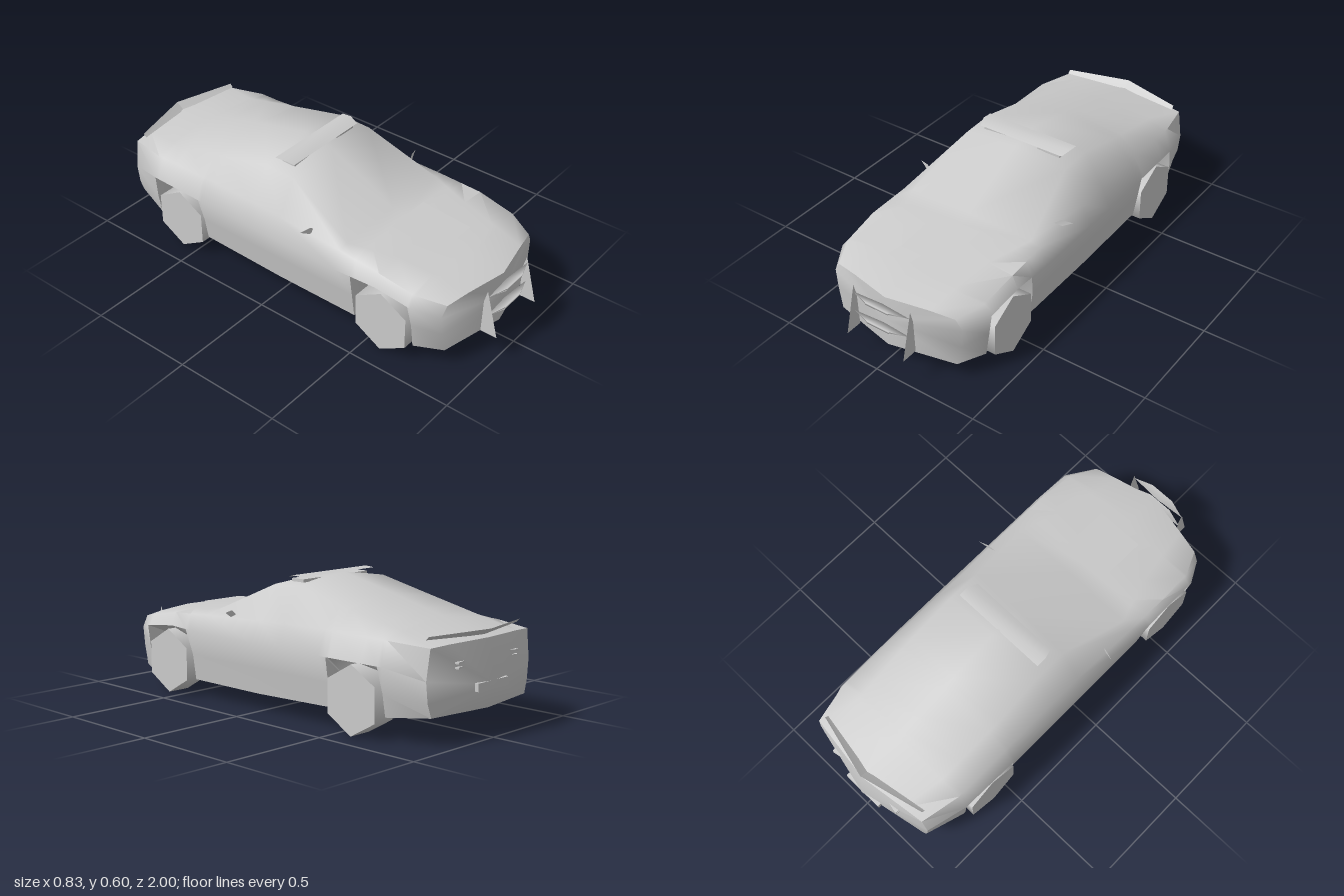
import * as THREE from 'three';
import { toCreasedNormals } from 'three/addons/utils/BufferGeometryUtils.js';

const material = new THREE.MeshStandardMaterial({ color: 0xcccccc });
const thin = new THREE.MeshStandardMaterial({ color: 0xcccccc, side: THREE.DoubleSide });

function add(group, name, geometry, mat = material) {
  const mesh = new THREE.Mesh(geometry, mat);
  mesh.name = name;
  group.add(mesh);
  return mesh;
}

function build(points, index) {
  const g = new THREE.BufferGeometry();
  g.setAttribute('position', new THREE.Float32BufferAttribute(points.flat(), 3));
  g.setIndex(index);
  g.computeVertexNormals();
  return g;
}

// Thin sheet from a convex outline of corners
function sheet(corners) {
  const index = [];
  for (let i = 1; i < corners.length - 1; i++) index.push(0, i, i + 1);
  return build(corners, index);
}

// Upper profile: z, waist x/y, shoulder x/y, roof edge x/y, centre y
const UPPER = [
  [0.84, 0.34, 0.27, 0.31, 0.32, 0.2, 0.33, 0.335],
  [0.73, 0.4, 0.3, 0.365, 0.345, 0.22, 0.36, 0.365],
  [0.55, 0.402, 0.32, 0.375, 0.378, 0.25, 0.388, 0.392],
  [0.34, 0.405, 0.31, 0.37, 0.39, 0.32, 0.402, 0.41],
  [0, 0.405, 0.31, 0.36, 0.402, 0.265, 0.555, 0.575],
  [-0.16, 0.405, 0.31, 0.36, 0.41, 0.265, 0.56, 0.6],
  [-0.4, 0.404, 0.31, 0.36, 0.415, 0.27, 0.505, 0.547],
  [-0.74, 0.395, 0.31, 0.36, 0.412, 0.26, 0.435, 0.465],
  [-0.92, 0.34, 0.27, 0.32, 0.4, 0.22, 0.405, 0.41],
];

function upperAt(z) {
  let i = 0;
  while (i < UPPER.length - 2 && z < UPPER[i + 1][0]) i++;
  const a = UPPER[i], b = UPPER[i + 1], t = (z - a[0]) / (b[0] - a[0]);
  return a.map((v, k) => v + (b[k] - v) * t);
}

// Stations front to back; a second number is the wheel arch height there
const STATIONS = [
  [0.84], [0.73], [0.715, 0.25], [0.55, 0.31], [0.45, 0.22], [0.42], [0.34], [0],
  [-0.16], [-0.4], [-0.44], [-0.46, 0.2], [-0.63, 0.3], [-0.715, 0.25], [-0.74], [-0.92],
];

function bodyGeometry() {
  const points = [], index = [];
  const last = STATIONS.length - 1;
  STATIONS.forEach(([z, arch], s) => {
    const [, xw, yw, xs, ys, xr, yr, yc] = upperAt(z);
    const yb = s === last ? 0.12 : z > 0 ? 0.08 : 0.08 - z * 0.03;
    const end = s === 0 || s === last;
    const low = arch ? [[0.28, yb], [0.285, arch]]
      : end ? [[0.31, yb], [0.33, 0.18]] : [[0.37, yb], [0.387, 0.2]];
    const half = [...low, [xw, yw], [xs, ys], [xr, yr]];
    const ring = [[0, yb], ...half, [0, yc], ...half.slice().reverse().map(([x, y]) => [-x, y])];
    // Nose and tail bow outward toward the centre line
    const bow = s === 0 ? 0.08 : s === 1 ? 0.04 : s === last ? -0.05 : 0;
    for (const [x, y] of ring) points.push([x, y, z + bow * (1 - Math.min(1, Math.abs(x) / 0.36))]);
  });
  const n = points.length / STATIONS.length;
  for (let s = 0; s < last; s++) {
    for (let j = 0; j < n; j++) {
      const k = (j + 1) % n, a = s * n + j, b = s * n + k;
      index.push(a, a + n, b, b, a + n, b + n);
    }
  }
  // Nose and tail faces
  const nose = points.push([0, 0.22, 0.925]) - 1;
  const tail = points.push([0, 0.22, -1]) - 1;
  for (let j = 0; j < n; j++) {
    const k = (j + 1) % n;
    index.push(nose, j, k, tail, last * n + k, last * n + j);
  }
  return toCreasedNormals(build(points, index), 1.05);
}

// Slim bar, pointed at both ends and bowed forward in the middle
function bowedBar(y) {
  const tip = 0.15, mid = 0.06;
  return build([
    [-tip, y, 0.945], [tip, y, 0.945],
    [-mid, y + 0.005, 0.975], [mid, y + 0.005, 0.975], [mid, y - 0.005, 0.975], [-mid, y - 0.005, 0.975],
    [0, y, 0.935],
  ], [0, 5, 2, 2, 5, 4, 2, 4, 3, 3, 4, 1, 0, 2, 6, 2, 3, 6, 3, 1, 6, 0, 6, 5, 5, 6, 4, 4, 6, 1]);
}

export function createModel() {
  const car = new THREE.Group();
  car.name = 'car';
  add(car, 'body', bodyGeometry());

  // Six-sided wheels
  for (const side of [1, -1]) {
    for (const z of [0.58, -0.58]) {
      const wheel = add(car, z > 0 ? 'frontWheel' : 'rearWheel',
        new THREE.CylinderGeometry(0.15, 0.15, 0.11, 6).rotateY(Math.PI / 6).rotateZ(Math.PI / 2));
      wheel.position.set(side * 0.345, 0.15, z);
    }
  }

  // Bonnet panel
  add(car, 'bonnetPanel', sheet([
    [-0.115, 0.388, 0.67], [0.115, 0.388, 0.67], [0.115, 0.409, 0.42], [-0.115, 0.409, 0.42],
  ]), thin);

  // Push bar: two fins and two crossbars
  const pushBar = new THREE.Group();
  pushBar.name = 'pushBar';
  car.add(pushBar);
  for (const side of [1, -1]) {
    const x = side * 0.15;
    add(pushBar, 'pushBarFin', sheet([[x, 0.12, 1], [x, 0.34, 0.94], [x, 0.28, 0.925], [x, 0.12, 0.92]]), thin);
  }
  for (const y of [0.31, 0.21]) add(pushBar, 'pushBarCrossbar', bowedBar(y), thin);

  // Roof light bar: curved blade on two feet
  const lightBar = new THREE.Group();
  lightBar.name = 'roofLightBar';
  car.add(lightBar);
  add(lightBar, 'lightBarBlade', build([
    [-0.22, 0.585, -0.035], [0.22, 0.585, -0.035],
    [-0.235, 0.598, -0.08], [0.235, 0.598, -0.08],
    [-0.235, 0.594, -0.13], [0.235, 0.594, -0.13],
  ], [0, 1, 3, 0, 3, 2, 2, 3, 5, 2, 5, 4]), thin);
  for (const side of [1, -1]) {
    add(lightBar, 'lightBarFoot', new THREE.BoxGeometry(0.12, 0.014, 0.07))
      .position.set(side * 0.145, 0.573, -0.08);
  }

  for (const side of [1, -1]) {
    // Door mirrors
    add(car, 'mirror', sheet([
      [side * 0.33, 0.405, 0.185], [side * 0.365, 0.43, 0.175],
      [side * 0.415, 0.425, 0.16], [side * 0.37, 0.4, 0.175],
    ]), thin);
    // Tail spoiler halves, swept back to a point
    add(car, 'tailSpoiler', sheet([
      [side * 0.3, 0.425, -0.885], [0, 0.415, -0.935], [0, 0.445, -0.975], [side * 0.3, 0.44, -0.9],
    ]), thin);
    // Tail lamps
    for (const y of [0.33, 0.31]) {
      const lamp = add(car, 'tailLamp', new THREE.BoxGeometry(0.06, 0.008, 0.02));
      lamp.position.set(side * 0.17, y, -0.955);
      lamp.rotation.y = side * 0.2;
    }
  }

  // Rear plate
  add(car, 'rearPlate', new THREE.BoxGeometry(0.2, 0.035, 0.02)).position.set(0, 0.22, -0.985);
  return car;
}
